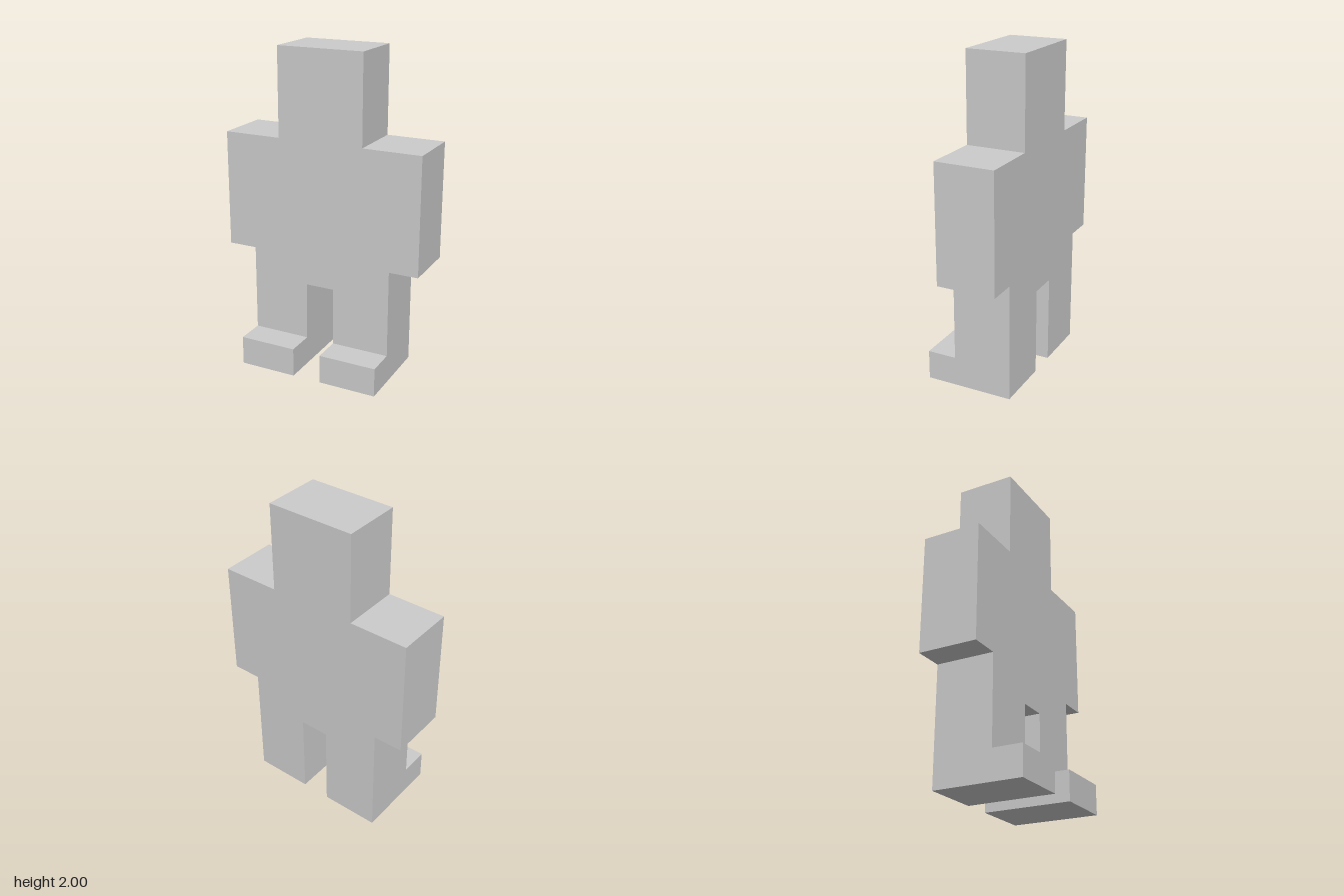
import * as THREE from 'three';

const U = 2 / 11; // block size: the figure is 11 blocks tall

export function createModel() {
  const group = new THREE.Group();
  const material = new THREE.MeshStandardMaterial({ color: 0xcccccc, flatShading: true });

  const add = (name, geometry, x, y, z) => {
    const mesh = new THREE.Mesh(geometry, material);
    mesh.name = name;
    mesh.position.set(x * U, y * U, z * U);
    group.add(mesh);
  };

  // Left half of the outline in blocks, from crotch round to head top
  const half = [
    [0.5, 3], [0.5, 0], [2.5, 0], [2.5, 4],   // leg
    [3.5, 4], [3.5, 8],                       // arm and shoulder
    [1.5, 8], [1.5, 11],                      // head
  ];
  const outline = [...half, ...half.map(([x, y]) => [-x, y]).reverse()];
  const shape = new THREE.Shape(outline.map(([x, y]) => new THREE.Vector2(x * U, y * U)));

  // Head, torso, arms and legs as one slab two blocks deep
  add('body', new THREE.ExtrudeGeometry(shape, { depth: 2 * U, bevelEnabled: false }), 0, 0, -1.5);

  // Toes projecting one block forward of each leg
  for (const [side, s] of [['left', 1], ['right', -1]]) {
    add(side + 'Foot', new THREE.BoxGeometry(2 * U, U, U), s * 1.5, 0.5, 1);
  }

  return group;
}
